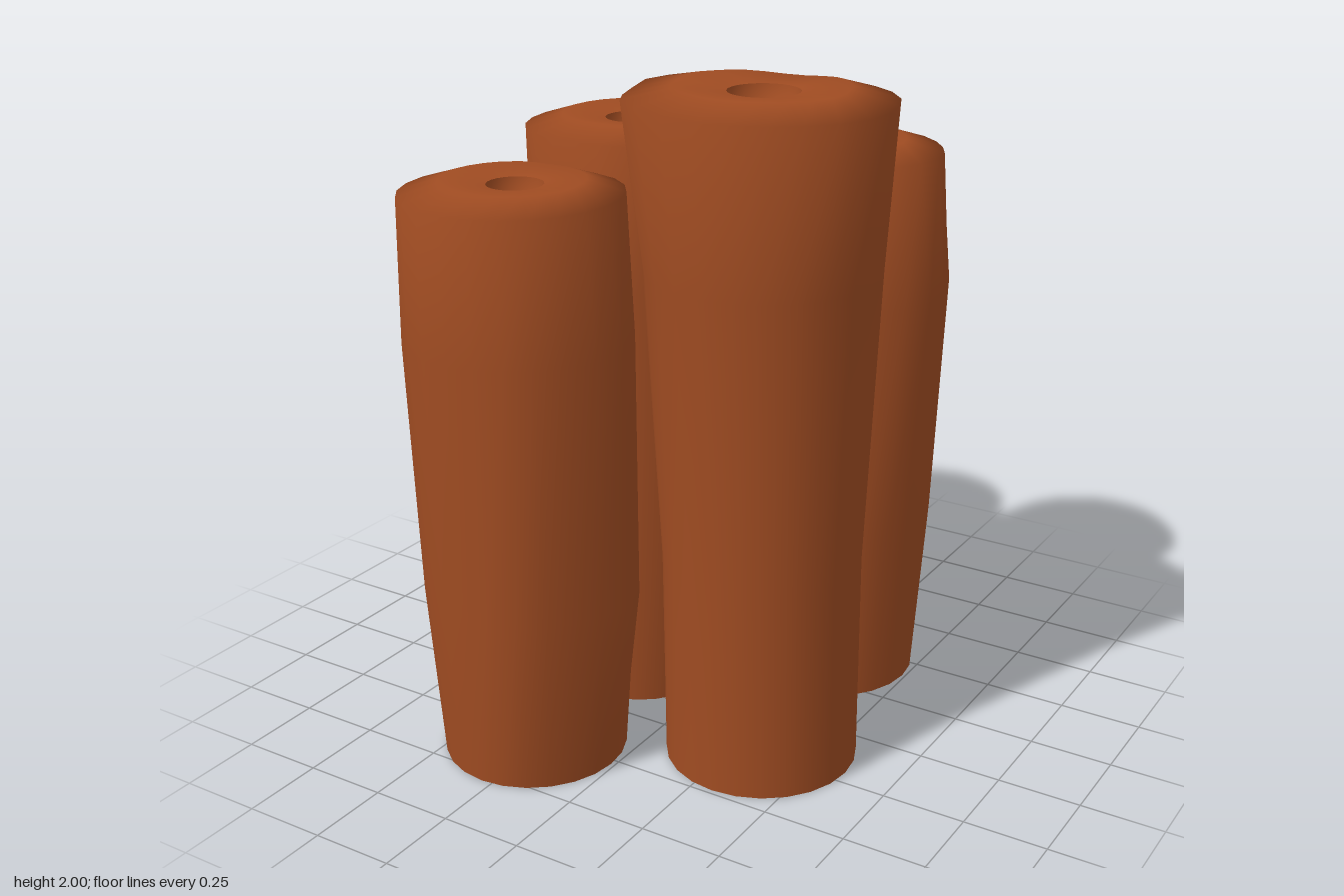
import * as THREE from 'three';

const SIDES = 24;
const LEVELS = [0, 0.32, 0.76, 1]; // base, belly, shoulder and rim, as parts of the height
const SPREAD = 35; // degrees either side of a pulled corner that follow it
const { lerp, degToRad, euclideanModulo } = THREE.MathUtils;

// Skin through rings of points, in order from the base up and in over the top.
function loft(rings, material, name) {
  const points = [], index = [];
  for (const loop of rings) for (const p of loop) points.push(...p);
  for (let i = 0; i < rings.length - 1; i++) {
    for (let j = 0; j < SIDES; j++) {
      const a = i * SIDES + j, b = i * SIDES + (j + 1) % SIDES;
      const c = a + SIDES, d = b + SIDES;
      index.push(a, c, b, b, c, d);
    }
  }
  const geometry = new THREE.BufferGeometry();
  geometry.setAttribute('position', new THREE.Float32BufferAttribute(points, 3));
  geometry.setIndex(index);
  geometry.computeVertexNormals();
  const mesh = new THREE.Mesh(geometry, material);
  mesh.name = name;
  return mesh;
}

// Ring around (x, z); 0 degrees is +x, 90 degrees is +z.
function ring(y, x, z, r) {
  return Array.from({ length: SIDES }, (_, j) => {
    const angle = (j / SIDES) * Math.PI * 2;
    return [x + Math.cos(angle) * r, y, z + Math.sin(angle) * r];
  });
}

// Moves one corner of a wall ring outward and up, fading into its neighbours.
function pull(loop, degrees, out, up = 0) {
  loop.forEach((p, j) => {
    const own = (j / SIDES) * 360;
    const away = Math.abs(euclideanModulo(own - degrees + 180, 360) - 180);
    const weight = Math.max(0, 1 - away / SPREAD);
    p[0] += Math.cos(degToRad(own)) * out * weight;
    p[1] += up * weight;
    p[2] += Math.sin(degToRad(own)) * out * weight;
  });
}

function makeTube(name, material, { height, base, rim, radii, hole, shape }) {
  const tube = new THREE.Group();
  tube.name = name;

  // Leaning wall, open below, with a few pulled corners
  const walls = LEVELS.map((t, i) =>
    ring(t * height, lerp(base.x, rim.x, t), lerp(base.z, rim.z, t), radii[i]));
  shape(...walls.slice(1));

  // Rounded top, sloping in to the edge of the opening
  const top = height + 0.035;
  const dome = walls[3].map(([x, y, z]) => [
    lerp(hole.x, x, 0.65), top + (y - height) * 0.3, lerp(hole.z, z, 0.65)]);
  const mouth = ring(top - 0.015, hole.x, hole.z, hole.r);
  tube.add(loft([...walls, dome, mouth], material, 'wall'));

  // Opening with a shallow pointed floor
  const floor = ring(top - 0.08, hole.x, hole.z, hole.r * 0.85);
  tube.add(loft([mouth, floor, ring(top - 0.11, hole.x, hole.z, 0)], material, 'opening'));
  return tube;
}

export function createModel() {
  const model = new THREE.Group();
  model.name = 'tubeCluster';
  const clay = new THREE.MeshStandardMaterial({ color: 0xa04c22, side: THREE.DoubleSide });
  clay.name = 'sienna';

  model.add(makeTube('tallFrontTube', clay, {
    height: 1.965, base: { x: 0.315, z: 0.2 }, rim: { x: 0.3, z: 0.2 },
    radii: [0.285, 0.288, 0.33, 0.362], hole: { x: 0.3, z: 0.2, r: 0.1 },
    shape: (belly, shoulder, edge) => {
      pull(edge, 18, 0.02);
      pull(edge, 130, 0.03, 0.015);
      pull(edge, 185, 0.015, 0.015);
      pull(edge, 235, -0.025);
      pull(edge, 263, 0.01, -0.055);
      pull(edge, 290, -0.02);
    },
  }));

  model.add(makeTube('frontSideTube', clay, {
    height: 1.705, base: { x: -0.285, z: 0.52 }, rim: { x: -0.295, z: 0.53 },
    radii: [0.272, 0.305, 0.322, 0.312], hole: { x: -0.29, z: 0.52, r: 0.08 },
    shape: (belly, shoulder, edge) => {
      pull(belly, 0, 0.06);
      pull(belly, 55, 0.045);
      pull(shoulder, 0, 0.03);
      pull(edge, 270, -0.025);
    },
  }));

  model.add(makeTube('middleTube', clay, {
    height: 1.785, base: { x: -0.27, z: -0.035 }, rim: { x: -0.285, z: -0.05 },
    radii: [0.235, 0.29, 0.313, 0.318], hole: { x: -0.29, z: -0.055, r: 0.08 },
    shape: (belly, shoulder, edge) => {
      pull(belly, 135, 0.025);
      pull(belly, 180, 0.035);
      pull(edge, 90, -0.025);
      pull(edge, 270, -0.02);
    },
  }));

  model.add(makeTube('backSideTube', clay, {
    height: 1.7, base: { x: 0.21, z: -0.41 }, rim: { x: 0.205, z: -0.437 },
    radii: [0.28, 0.315, 0.342, 0.3], hole: { x: 0.19, z: -0.43, r: 0.085 },
    shape: (belly, shoulder, edge) => {
      pull(belly, 100, 0.015);
      pull(shoulder, 22, 0.035);
      pull(shoulder, 180, -0.025);
      pull(edge, 0, 0.02);
      pull(edge, 180, 0.015);
    },
  }));

  model.add(makeTube('shortBackTube', clay, {
    height: 1.485, base: { x: -0.285, z: -0.465 }, rim: { x: -0.39, z: -0.57 },
    radii: [0.22, 0.25, 0.275, 0.275], hole: { x: -0.39, z: -0.575, r: 0.075 },
    shape: (belly, shoulder, edge) => {
      pull(shoulder, 150, -0.025);
      pull(edge, 45, 0, 0.02);
      pull(edge, 150, 0.01, 0.015);
      pull(edge, 225, 0, -0.03);
    },
  }));

  return model;
}
